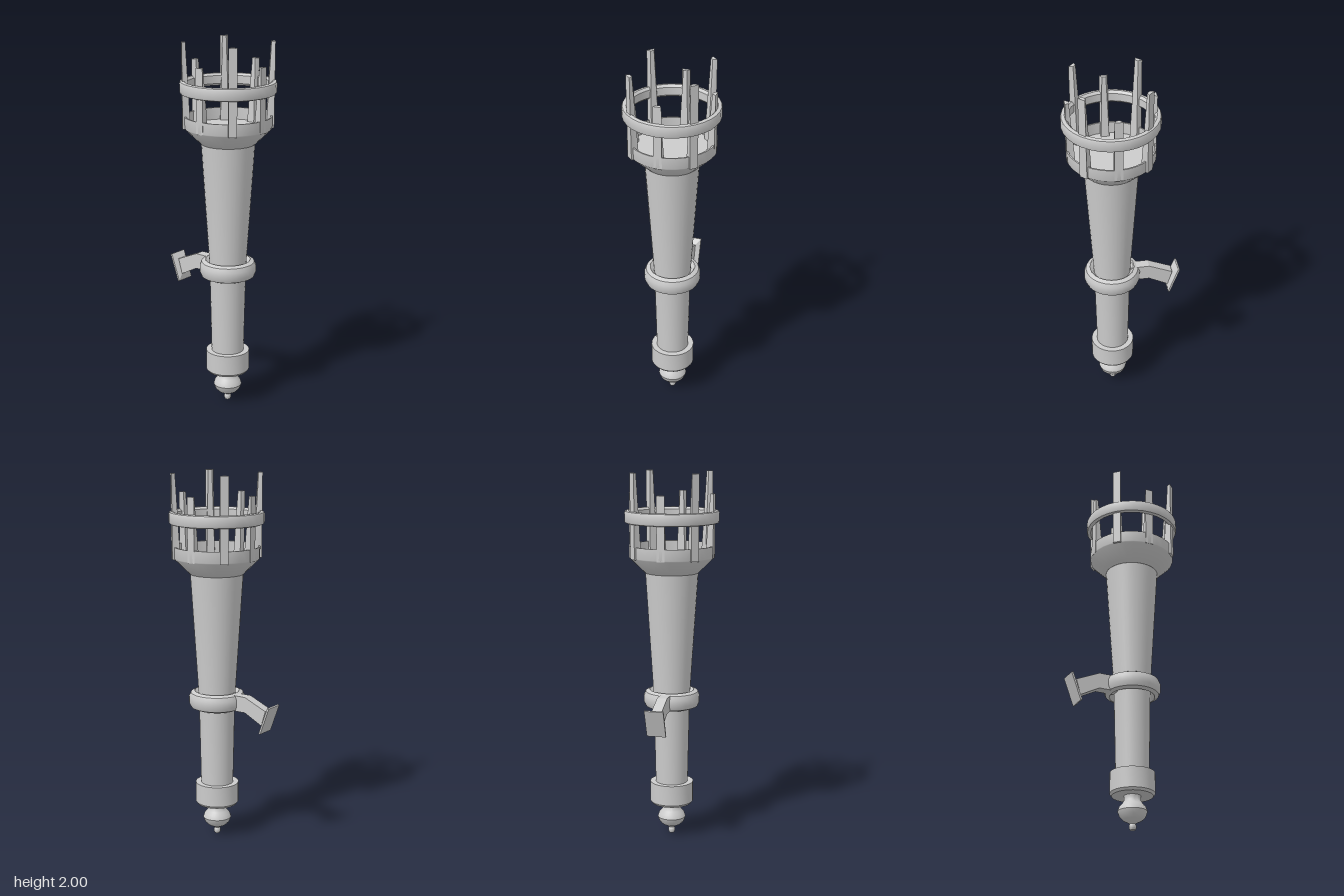
import * as THREE from 'three';
import { toCreasedNormals } from 'three/addons/utils/BufferGeometryUtils.js';

const AXIS_X = 0.057;

export function createModel() {
  const model = new THREE.Group();
  model.name = 'wallTorch';
  const material = new THREE.MeshStandardMaterial({ color: 0xcccccc });

  const add = (parent, name, geometry) => {
    const mesh = new THREE.Mesh(geometry, material);
    mesh.name = name;
    parent.add(mesh);
    return mesh;
  };

  // Turned part from a profile of [radius, height], outside listed upwards
  const torch = new THREE.Group();
  torch.name = 'torch';
  torch.position.x = AXIS_X;
  model.add(torch);
  const turn = (name, profile) => {
    const points = profile.map(([r, y]) => new THREE.Vector2(r, y));
    add(torch, name, toCreasedNormals(new THREE.LatheGeometry(points, 32), 0.55));
  };

  // Rounded band with a closed profile
  const band = (name, inner, outer, bottom, top, bevel) => turn(name, [
    [inner, bottom + bevel], [inner + bevel, bottom], [outer - bevel, bottom],
    [outer - bevel * 0.3, bottom + bevel * 0.3], [outer, bottom + bevel],
    [outer, top - bevel], [outer - bevel * 0.3, top - bevel * 0.3],
    [outer - bevel, top], [inner + bevel, top], [inner, top - bevel], [inner, bottom + bevel],
  ]);

  // Knob at the foot
  turn('finial', [
    [0, 0], [0.014, 0.004], [0.019, 0.015], [0.019, 0.026], [0.014, 0.036], [0.022, 0.042],
    [0.05, 0.056], [0.068, 0.075], [0.077, 0.1], [0.07, 0.122], [0.055, 0.138],
    [0.045, 0.155], [0.043, 0.172], [0.046, 0.19],
  ]);
  turn('baseCollar', [
    [0, 0.182], [0.108, 0.182], [0.118, 0.195], [0.118, 0.306], [0.085, 0.306],
  ]);
  turn('shaft', [[0.088, 0.3], [0.098, 0.78], [0.143, 1.48]]);
  band('middleBand', 0.09, 0.152, 0.73, 0.828, 0.032);

  // Open cup with a floor
  turn('cup', [
    [0, 1.468], [0.143, 1.468], [0.158, 1.482], [0.228, 1.55], [0.23, 1.555], [0.23, 1.615],
    [0.222, 1.615], [0.222, 1.55], [0, 1.55],
  ]);
  band('crownRing', 0.219, 0.253, 1.733, 1.8, 0.012);

  // Eight tapered prongs, the diagonal ones taller and set further out
  for (let i = 0; i < 8; i++) {
    const tall = i % 2 === 1;
    const bottom = 1.55, top = tall ? 2 : 1.89;
    const outer = tall ? 0.241 : 0.231;
    const geometry = new THREE.BoxGeometry(1, 1, 1);
    const p = geometry.attributes.position;
    for (let v = 0; v < p.count; v++) {
      const isTop = p.getY(v) > 0, isOuter = p.getZ(v) > 0;
      const width = isTop && !isOuter ? 0.02 : 0.044;
      p.setXYZ(v, p.getX(v) * width, isTop ? top : bottom,
        isOuter ? outer - (isTop ? 0 : 0.002) : outer - (isTop ? 0.02 : 0.044));
    }
    geometry.computeVertexNormals();
    add(torch, 'prong', geometry).rotation.y = i * Math.PI / 4;
  }

  // Bent arm reaching from the band to the wall plate
  const outline = [[-0.04, 0.737], [-0.04, 0.822], [-0.145, 0.822], [-0.275, 0.765],
    [-0.25, 0.682], [-0.145, 0.737]];
  const arm = new THREE.ExtrudeGeometry(
    new THREE.Shape(outline.map(([x, y]) => new THREE.Vector2(x, y))),
    { depth: 0.055, bevelEnabled: false });
  arm.translate(0, 0, -0.0275);
  add(model, 'bracketArm', arm);

  // Tilted wall plate: thin slab with a sloped inner face
  const plate = new THREE.Group();
  plate.name = 'wallPlate';
  plate.position.set(-0.286, 0.716, 0);
  plate.rotation.z = THREE.MathUtils.degToRad(20);
  model.add(plate);
  add(plate, 'plateSlab', new THREE.BoxGeometry(0.01, 0.157, 0.103).translate(0.005, 0, 0));
  const slope = new THREE.BoxGeometry(0.012, 0.157, 0.103).translate(0.016, 0, 0);
  const sp = slope.attributes.position;
  for (let v = 0; v < sp.count; v++) {
    if (sp.getX(v) > 0.016) sp.setXYZ(v, sp.getX(v), sp.getY(v) * 0.58, sp.getZ(v) * 0.56);
  }
  slope.computeVertexNormals();
  add(plate, 'plateSlope', slope);

  return model;
}
